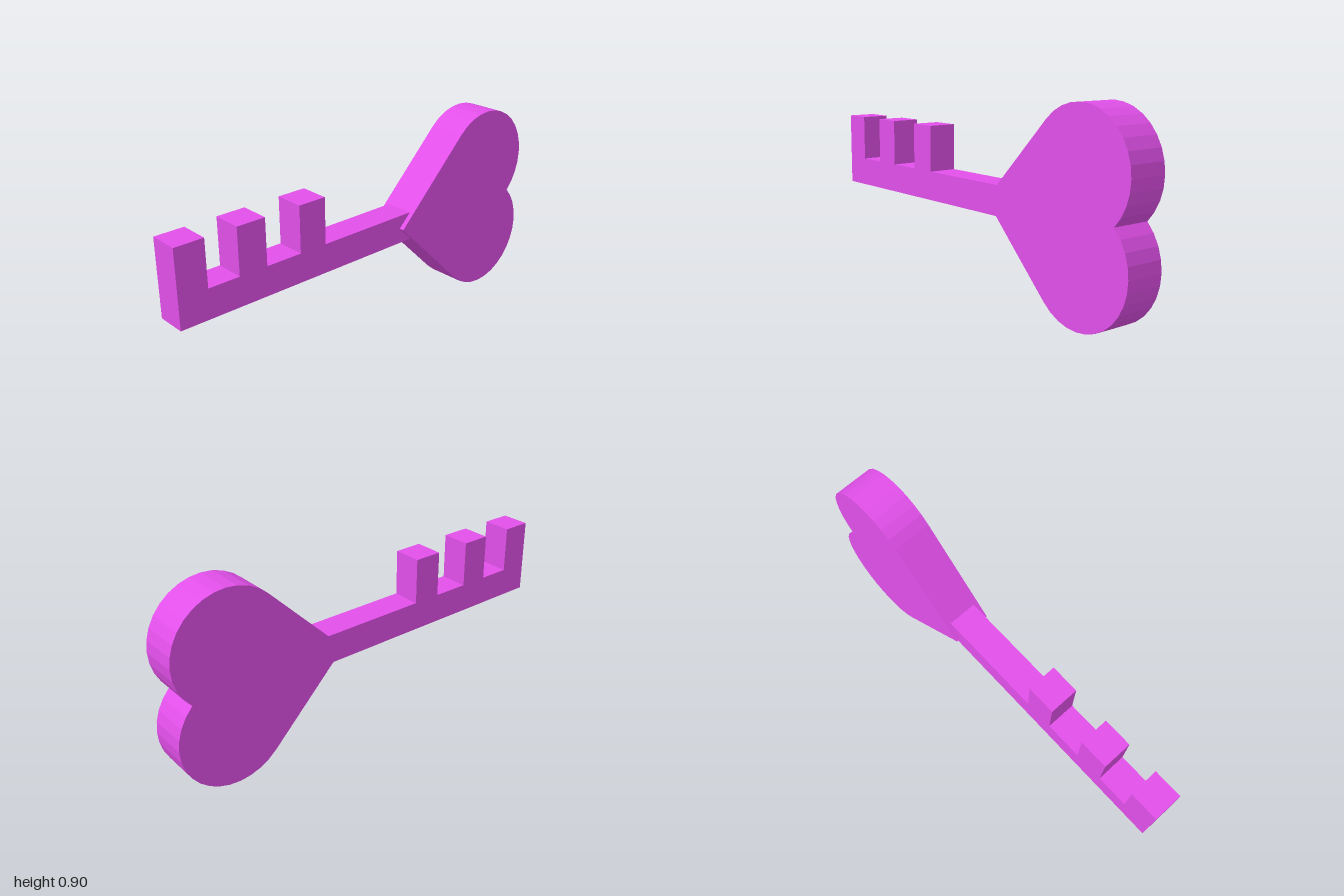
import * as THREE from 'three';

const material = new THREE.MeshStandardMaterial({ color: 0xe250ea, flatShading: true });
const MID_Y = 0.45;

// Extrudes a shape in the xy plane, centred on z = 0
function slab(name, shape, depth, curveSegments = 1) {
  const geometry = new THREE.ExtrudeGeometry(shape, { depth, bevelEnabled: false, curveSegments });
  geometry.translate(0, 0, -depth / 2);
  const mesh = new THREE.Mesh(geometry, material);
  mesh.name = name;
  return mesh;
}

// Heart: a square standing on its corner with a half circle on two sides
function heartShape() {
  const d = 0.373; // half diagonal of the square
  const r = d / Math.SQRT2;
  const cx = 1 - r; // lobe centres
  const tip = cx - 1.5 * d;
  const q = Math.PI / 4;
  const shape = new THREE.Shape();
  shape.moveTo(tip, MID_Y);
  shape.lineTo(tip + d, MID_Y - d);
  shape.absarc(cx, MID_Y - d / 2, r, -3 * q, q, false);
  shape.absarc(cx, MID_Y + d / 2, r, -q, 3 * q, false);
  shape.lineTo(tip, MID_Y);
  return shape;
}

// Shaft with three square teeth along its upper edge
function shaftShape() {
  const bottom = 0.378, top = 0.514, toothTop = 0.73, toothWidth = 0.136;
  const shape = new THREE.Shape();
  shape.moveTo(-1, bottom);
  shape.lineTo(0.27, bottom);
  shape.lineTo(0.27, top);
  for (const x of [-0.406, -0.716, -1]) {
    shape.lineTo(x + toothWidth, top);
    shape.lineTo(x + toothWidth, toothTop);
    shape.lineTo(x, toothTop);
    if (x > -1) shape.lineTo(x, top);
  }
  shape.closePath();
  return shape;
}

export function createModel() {
  const key = new THREE.Group();
  key.name = 'heartKey';
  key.add(slab('heartBow', heartShape(), 0.183, 8));
  key.add(slab('toothedShaft', shaftShape(), 0.137));
  return key;
}
